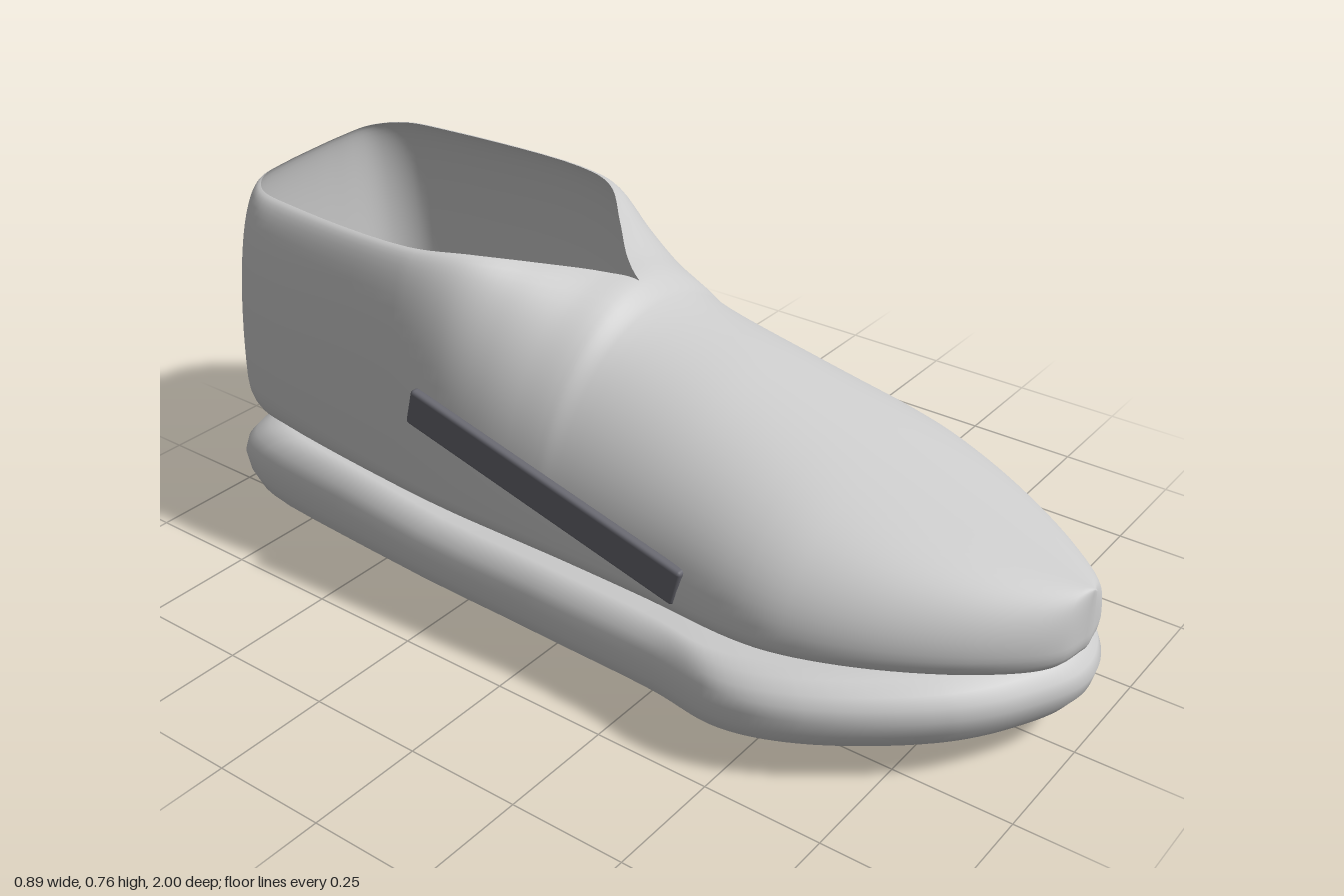
import * as THREE from 'three';
import { mergeVertices } from 'three/addons/utils/BufferGeometryUtils.js';
import { RoundedBoxGeometry } from 'three/addons/geometries/RoundedBoxGeometry.js';

const V = (x, y, z) => new THREE.Vector3(x, y, z);
const smooth = THREE.MathUtils.smoothstep;

// Skin closed loops of points, stacked from bottom to top
function loft(rows) {
  const n = rows[0].length;
  const index = [];
  for (let i = 0; i < rows.length - 1; i++) {
    for (let j = 0; j < n; j++) {
      const a = i * n + j, b = i * n + (j + 1) % n;
      index.push(a, b, b + n, a, b + n, a + n);
    }
  }
  let geo = new THREE.BufferGeometry().setFromPoints(rows.flat());
  geo.setIndex(index);
  geo = mergeVertices(geo, 1e-4);
  geo.computeVertexNormals();
  return geo;
}

// Sole: one plan outline, scaled through a rounded edge profile
function soleGeometry() {
  const outline = new THREE.CatmullRomCurve3([
    [0.03, 0.995], [0.15, 0.965], [0.3, 0.82], [0.4, 0.62], [0.442, 0.49], [0.422, 0.3],
    [0.4, -0.24], [0.37, -0.78], [0.345, -0.91], [0.28, -0.98], [0.1, -0.975], [-0.24, -0.925],
    [-0.34, -0.885], [-0.38, -0.8], [-0.415, 0], [-0.425, 0.32], [-0.442, 0.49],
    [-0.39, 0.64], [-0.23, 0.85], [-0.1, 0.945],
  ].map(([x, z]) => V(x, 0, z)), true).getPoints(160).slice(0, -1);
  const profile = [
    [0, 0], [0.45, 0.019], [0.82, 0.035], [0.9, 0.053], [0.968, 0.08], [0.992, 0.112], [1, 0.145],
    [0.99, 0.17], [0.968, 0.19], [0.93, 0.208], [0.88, 0.218], [0.5, 0.225], [0, 0.225],
  ];
  return loft(profile.map(([s, y]) => outline.map(p => {
    const lift = 0.028 * smooth(-p.z * s, 0.2, 0.6) * (y / 0.2);
    return V(p.x * s, y + lift, p.z * s);
  })));
}

// Upper: ribs running from the base outline up to the ridge or the collar
function upperGeometry() {
  const ridge = z => 0.37 + 0.29 * (1 - z);
  // base x, base z, top x, top y, top z
  const ribs = [
    ...[[0, 1], [0.085, 0.98], [0.18, 0.89], [0.29, 0.72], [0.355, 0.56], [0.37, 0.46], [0.36, 0.25], [0.355, 0.02]]
      .map(([x, z]) => [x, z, 0, ridge(z), z]),
    [0.355, -0.03, 0, 0.69, -0.03],
    [0.355, -0.09, 0.04, 0.708, -0.09],
    [0.355, -0.18, 0.13, 0.735, -0.18],
    [0.355, -0.28, 0.225, 0.76, -0.28],
    [0.355, -0.4, 0.27, 0.76, -0.4],
    [0.345, -0.78, 0.262, 0.76, -0.76],
    [0.322, -0.9, 0.24, 0.76, -0.875],
    [0.25, -0.965, 0.18, 0.76, -0.93],
    [0.12, -0.98, 0.09, 0.76, -0.943],
    [0, -0.983, 0, 0.76, -0.945],
  ];
  const base = new THREE.CatmullRomCurve3(ribs.map(r => V(r[0], 0, r[1])));
  const top = new THREE.CatmullRomCurve3(ribs.map(r => V(r[2], r[3], r[4])));
  const N = (ribs.length - 1) * 6;
  // The back of the heel sits slightly askew
  const place = (x, y, z) => V(x, y, z - 0.1 * x * smooth(-z, 0.5, 0.9));

  function rib(k, side) {
    const b = base.getPoint(k / N), t = top.getPoint(k / N);
    const heel = smooth(-b.z, 0.2, 0.9);
    const baseY = 0.265 + 0.06 * heel, lipY = 0.22 + 0.03 * heel;
    const bx = side * Math.max(0, b.x), tx = side * Math.max(0, t.x);
    const points = [V(0, lipY, b.z * 0.8)];
    // rounded lip turning under
    for (let i = 0; i < 5; i++) {
      const a = (i / 5 - 1) * Math.PI / 2, s = Math.cos(a);
      points.push(place(bx * (0.9 + 0.1 * s), baseY + (baseY - lipY) * Math.sin(a), b.z * (0.96 + 0.04 * s)));
    }
    // side wall curving in towards the top
    for (let i = 0; i <= 18; i++) {
      const a = i / 18 * Math.PI / 2, c = i === 18 ? 0 : Math.cos(a);
      points.push(place(tx + (bx - tx) * c, baseY + (t.y - baseY) * Math.sin(a), t.z + (b.z - t.z) * c));
    }
    return points;
  }

  const loop = [];
  for (let k = 0; k <= N; k++) loop.push(rib(k, 1));
  for (let k = N - 1; k > 0; k--) loop.push(rib(k, -1));
  return loft(loop[0].map((_, i) => loop.map(r => r[i])));
}

export function createModel() {
  const group = new THREE.Group();
  const grey = new THREE.MeshStandardMaterial({ color: 0xcccccc, side: THREE.DoubleSide });
  const dark = new THREE.MeshStandardMaterial({ color: 0x66666e });
  const add = (name, geo, mat) => {
    const mesh = new THREE.Mesh(geo, mat);
    mesh.name = name;
    group.add(mesh);
    return mesh;
  };

  add('sole', soleGeometry(), grey);
  add('upper', upperGeometry(), grey);

  // Slanted side stripes
  for (const side of [1, -1]) {
    const stripe = add(side > 0 ? 'leftStripe' : 'rightStripe',
      new RoundedBoxGeometry(0.022, 0.083, 0.69, 2, 0.008), dark);
    stripe.position.set(side * 0.359, 0.38, 0);
    stripe.rotation.x = 0.25;
  }
  return group;
}
